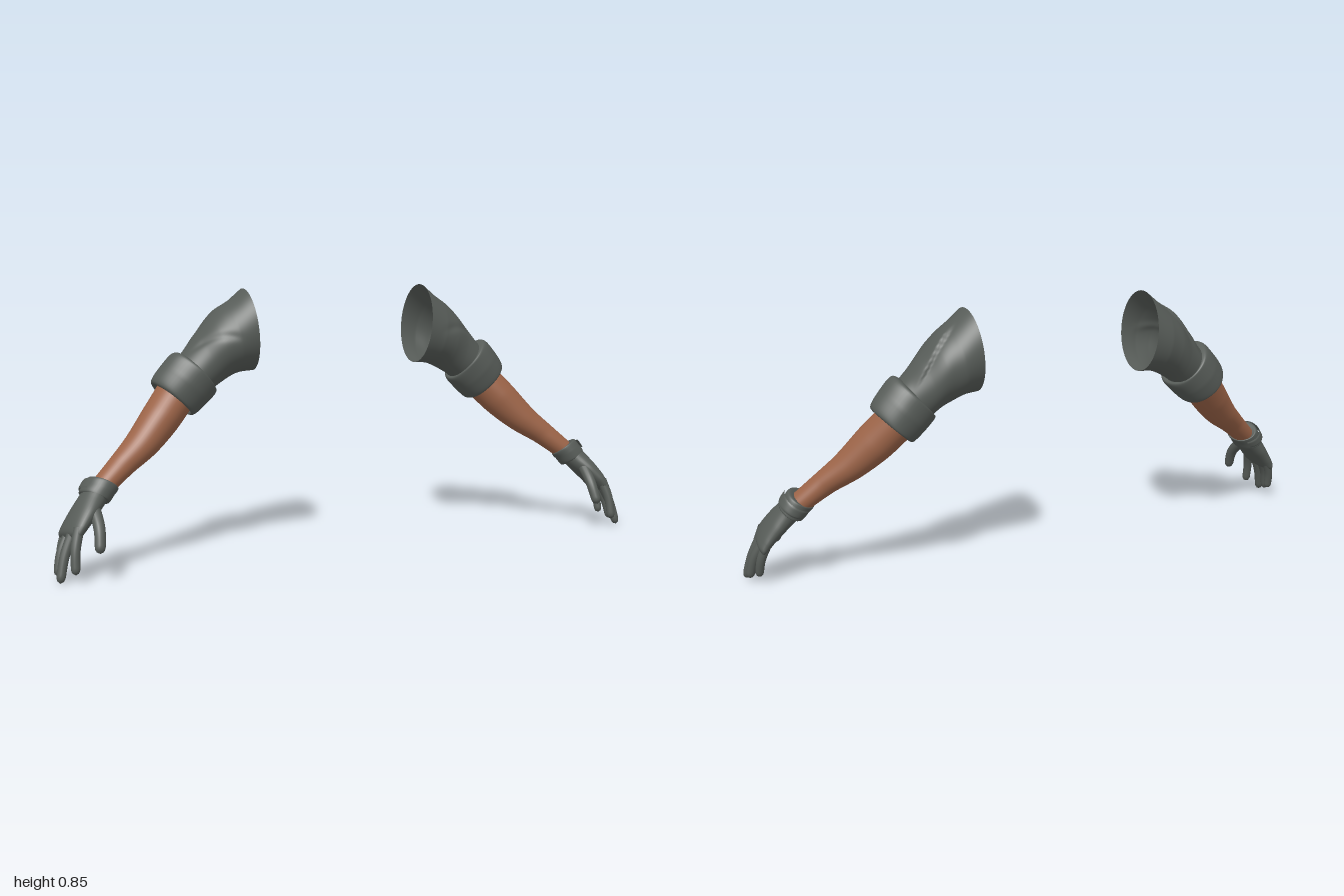
import * as THREE from 'three';

const fabric = new THREE.MeshStandardMaterial({ color: 0x575c58, side: THREE.DoubleSide });
fabric.name = 'grey fabric';
const skinTone = new THREE.MeshStandardMaterial({ color: 0x9c6448, side: THREE.DoubleSide });
skinTone.name = 'skin';

const V = (x, y, z) => new THREE.Vector3(x, y, z);
const smooth = (a, b, x) => THREE.MathUtils.smoothstep(x, a, b);

// Surface through rings; point(t, angle) gives a position. side = 1 or -1 mirrors in x.
function surface(point, side, rows, cols, arc) {
  const pos = [], idx = [];
  const n = arc ? cols + 1 : cols;
  for (let i = 0; i <= rows; i++) {
    for (let j = 0; j < n; j++) {
      const a = arc ? arc[0] + (arc[1] - arc[0]) * j / cols : 2 * Math.PI * j / cols;
      const p = point(i / rows, a);
      pos.push(p.x * side, p.y, p.z);
    }
  }
  for (let i = 0; i < rows; i++) {
    for (let j = 0; j < cols; j++) {
      const a = i * n + j, b = i * n + (j + 1) % n, c = a + n, d = b + n;
      if (side > 0) idx.push(a, b, c, b, d, c);
      else idx.push(a, c, b, b, c, d);
    }
  }
  const g = new THREE.BufferGeometry();
  g.setAttribute('position', new THREE.Float32BufferAttribute(pos, 3));
  g.setIndex(idx);
  g.computeVertexNormals();
  return g;
}

// Oval sections [topX, topY, bottomX, bottomY, frontZ, backZ], tilted by k, blended smoothly.
function sections(list, k, relief = () => 0) {
  const spline = (f) => new THREE.CatmullRomCurve3(list.map(f), false, 'centripetal');
  const top = spline((s) => V(s[0], s[1], (s[4] + s[5]) / 2));
  const bottom = spline((s) => V(s[2], s[3], (s[4] + s[5]) / 2));
  const half = list.map((s) => (s[4] - s[5]) / 2);
  return (t, a) => {
    const p = top.getPoint(t), q = bottom.getPoint(t);
    const f = t * (half.length - 1), i = Math.min(Math.floor(f), half.length - 2);
    const h = THREE.MathUtils.lerp(half[i], half[i + 1], f - i);
    const r = 1 + relief(t, a);
    return p.clone().add(q).multiplyScalar(0.5)
      .addScaledVector(p.clone().sub(q), 0.5 * Math.cos(a) * r)
      .addScaledVector(V(-k, k, 1), h * Math.sin(a) * r);
  };
}

// Round-tipped finger along a curve
function finger(points, radius) {
  const curve = new THREE.CatmullRomCurve3(points.map((p) => V(...p)));
  return (t, a) => {
    const d = curve.getTangent(t);
    const b = V(0, 0, 1).addScaledVector(d, -d.z).normalize();
    const n = b.clone().cross(d);
    const tip = Math.max(0, (t - 0.86) / 0.14);
    const r = radius * (1.08 - 0.2 * t) * Math.sqrt(Math.max(0, 1 - tip * tip));
    return curve.getPoint(t).addScaledVector(n, r * Math.cos(a)).addScaledVector(b, r * Math.sin(a));
  };
}

// Draped fold: a crisp rear edge running down the outer sleeve, fading to the front
function sleeveFold(t, a) {
  const angle = a > Math.PI ? a - 2 * Math.PI : a;
  const d = angle + 0.1 + 0.85 * t;
  const along = smooth(0.12, 0.4, t) * (1 - smooth(0.75, 0.95, t));
  const flap = 0.1 * smooth(-0.05, 0.08, d) * (1 - smooth(0.1, 1.5, d)) * along;
  const crease = -0.035 * Math.exp(-(((angle - 1.5 + 1.6 * (t - 0.2)) / 0.14) ** 2)) * along;
  return flap + crease + 0.012 * Math.sin(3 * angle + 9 * t) * smooth(0.1, 0.5, t);
}
const cuffWaves = (t, a) => 0.015 * Math.sin(3 * a + 1) + 0.01 * Math.sin(5 * a + 3 * t);
const muscle = (t, a) => 0.035 * Math.sin(2 * a + 3 * t) * Math.sin(Math.PI * t);

const sleeve = [
  [0.32, 0.85, 0.295, 0.585, 0.035, -0.2], [0.385, 0.795, 0.345, 0.58, 0.034, -0.2],
  [0.435, 0.752, 0.39, 0.562, 0.026, -0.188], [0.48, 0.70, 0.425, 0.54, 0.015, -0.172],
  [0.545, 0.63, 0.455, 0.515, 0.008, -0.155]];
// The rolled cuff turns in on itself at both ends
const cuff = [
  [0.525, 0.64, 0.45, 0.535, 0.003, -0.15], [0.553, 0.652, 0.428, 0.522, 0.018, -0.164],
  [0.595, 0.614, 0.462, 0.482, 0.019, -0.165], [0.628, 0.565, 0.503, 0.45, 0.011, -0.157],
  [0.622, 0.553, 0.512, 0.452, 0.003, -0.15], [0.595, 0.56, 0.505, 0.475, -0.003, -0.143]];
const forearm = [
  [0.60, 0.56, 0.505, 0.475, -0.008, -0.147], [0.66, 0.488, 0.57, 0.408, 0.022, -0.112],
  [0.73, 0.402, 0.65, 0.343, 0.046, -0.066], [0.79, 0.345, 0.727, 0.295, 0.061, -0.024],
  [0.865, 0.275, 0.81, 0.235, 0.085, 0.01]];
const wristBand = [
  [0.845, 0.285, 0.80, 0.255, 0.083, 0.004], [0.865, 0.298, 0.785, 0.25, 0.096, -0.004],
  [0.881, 0.28, 0.80, 0.232, 0.104, -0.001], [0.896, 0.258, 0.818, 0.212, 0.109, 0.004],
  [0.885, 0.245, 0.83, 0.215, 0.1, 0.015]];
const palm = [
  [0.872, 0.28, 0.81, 0.235, 0.095, 0.006], [0.895, 0.252, 0.832, 0.212, 0.115, 0.015],
  [0.924, 0.215, 0.862, 0.182, 0.142, 0.019], [0.952, 0.172, 0.9, 0.145, 0.162, 0.026],
  [0.963, 0.145, 0.92, 0.125, 0.165, 0.029], [0.957, 0.128, 0.932, 0.119, 0.158, 0.036],
  [0.946, 0.122, 0.944, 0.121, 0.13, 0.07]];
const strap = [
  [0.878, 0.295, 0.79, 0.242, 0.105, -0.007], [0.882, 0.291, 0.792, 0.238, 0.109, -0.009],
  [0.894, 0.273, 0.806, 0.224, 0.112, -0.006], [0.896, 0.268, 0.81, 0.22, 0.11, -0.002]];
const fingers = {
  thumb: [[[0.87, 0.215, 0.105], [0.868, 0.16, 0.162], [0.875, 0.092, 0.194]], 0.018],
  indexFinger: [[[0.925, 0.165, 0.142], [0.942, 0.1, 0.163], [0.946, 0.03, 0.177]], 0.0155],
  middleFinger: [[[0.935, 0.155, 0.117], [0.968, 0.08, 0.132], [0.987, 0.002, 0.148]], 0.0155],
  ringFinger: [[[0.935, 0.15, 0.08], [0.97, 0.085, 0.097], [0.986, 0.015, 0.11]], 0.0155],
  littleFinger: [[[0.935, 0.155, 0.045], [0.96, 0.09, 0.056], [0.966, 0.031, 0.069]], 0.0145]
};

function makeArm(side) {
  const arm = new THREE.Group();
  arm.name = side > 0 ? 'leftArm' : 'rightArm';
  const add = (name, point, material, rows = 32, cols = 40, arc) => {
    const mesh = new THREE.Mesh(surface(point, side, rows, cols, arc), material);
    mesh.name = name;
    arm.add(mesh);
  };
  add('sleeve', sections(sleeve, 0, sleeveFold), fabric, 48, 96);
  add('rolledCuff', sections(cuff, 0.06, cuffWaves), fabric, 40, 48);
  add('forearm', sections(forearm, 0.22, muscle), skinTone);
  add('gloveWristBand', sections(wristBand, 0.25), fabric);
  add('wristStrap', sections(strap, 0.25), fabric, 12, 24, [-2.2, 0.5]);
  add('glovePalm', sections(palm, 0.2), fabric);
  for (const [name, [points, radius]] of Object.entries(fingers)) {
    add(name, finger(points, radius), fabric, 28, 16);
  }
  return arm;
}

export function createModel() {
  const model = new THREE.Group();
  model.name = 'arms';
  model.add(makeArm(1), makeArm(-1));
  return model;
}
